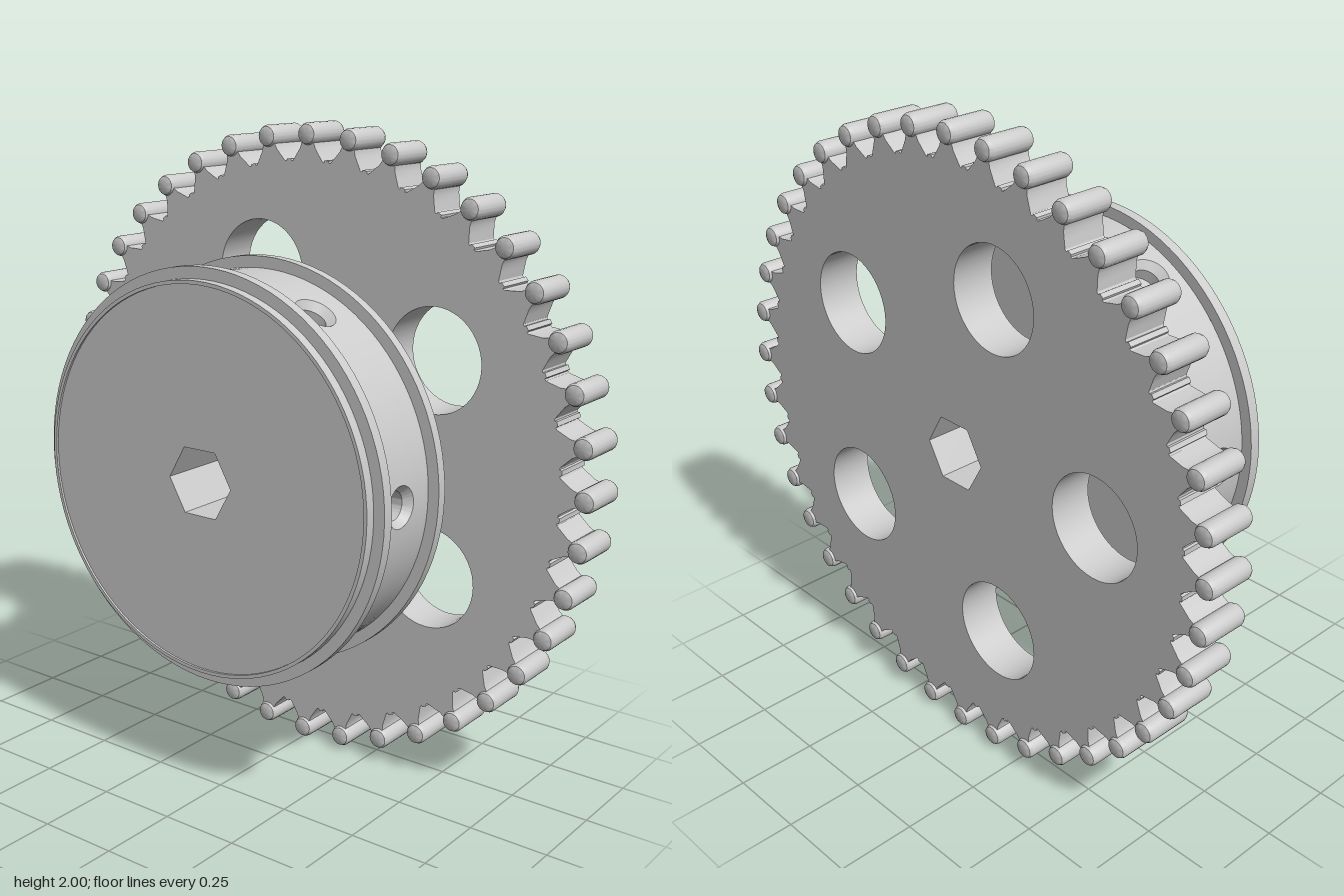
import * as THREE from 'three';
import { toCreasedNormals, mergeGeometries } from 'three/addons/utils/BufferGeometryUtils.js';

const material = new THREE.MeshStandardMaterial({ color: 0xcccccc, side: THREE.DoubleSide });
const TAU = Math.PI * 2;
const BORE = 0.115;        // corner radius of the hexagonal bore
const CROSS = 0.05;        // corner radius of the hexagonal cross hole
const CROSS_Z = -0.0925;
const HUB_R = 0.235, DRUM_R = 0.59;
const GEAR_BACK = -0.325, GEAR_FRONT = -0.185, FACE_Z = 0.33;

function add(parent, name, geometry) {
  const mesh = new THREE.Mesh(geometry, material);
  mesh.name = name;
  parent.add(mesh);
  return mesh;
}

// Turned part about the z axis, profile as [radius, z] with rising z
function turned(profile, segments = 96) {
  const g = new THREE.LatheGeometry(profile.map(p => new THREE.Vector2(...p)), segments);
  return toCreasedNormals(g.rotateX(Math.PI / 2), 0.5);
}

// Surface through closed rings of points, listed from the inside outwards
function loft(rings) {
  const n = rings[0].length, index = [];
  for (let i = 0; i < rings.length - 1; i++) {
    for (let j = 0; j < n; j++) {
      const k = (j + 1) % n, a = i * n + j, b = i * n + k;
      index.push(a, a + n, b + n, a, b + n, b);
    }
  }
  const g = new THREE.BufferGeometry().setFromPoints(rings.flat());
  g.setIndex(index);
  return g;
}

// Piece of a cylinder wall with a radial hole in its middle.
// hole(angle) gives the hole radius, inner(u, v) lists the points down the hole from the bottom up.
function piercedWall(R, middle, halfAngle, zc, halfHeight, hole, inner) {
  const w = R * halfAngle, h = halfHeight, angles = new Set();
  const addAngle = a => angles.add(Number(((a + TAU) % TAU).toFixed(5)));
  for (let i = 0; i < 36; i++) addAngle(i * TAU / 36);
  for (let i = -12; i <= 12; i++) {
    for (const s of [-1, 1]) addAngle(Math.atan2(s * h, w * i / 12));
  }
  const at = (x, u, v) => new THREE.Vector3(
    x * Math.cos(middle) - u * Math.sin(middle),
    x * Math.sin(middle) + u * Math.cos(middle), zc + v);
  const columns = [...angles].sort((a, b) => a - b).map(a => {
    const c = Math.cos(a), s = Math.sin(a), r = hole(a);
    const edge = Math.min(w / Math.max(Math.abs(c), 1e-6), h / Math.max(Math.abs(s), 1e-6));
    const points = inner(c, s, r).map(p => at(...p));
    for (let i = 0; i <= 8; i++) {
      const q = THREE.MathUtils.lerp(r, edge, i / 8), t = q * c / R;
      points.push(at(R * Math.cos(t), R * Math.sin(t), q * s));
    }
    return points;
  });
  return loft(columns[0].map((_, i) => columns.map(col => col[i])));
}

function hexPath(r) {
  return new THREE.Path(Array.from({ length: 6 }, (_, i) =>
    new THREE.Vector2(r * Math.cos(i * TAU / 6), r * Math.sin(i * TAU / 6))));
}

function circlePath(x, y, r) {
  return new THREE.Path().absarc(x, y, r, 0, TAU, true);
}

// Toothed plate with five round windows and the hexagonal bore
function gearPlate() {
  const half = [[0.02, 0.975], [0.021, 0.945], [0.028, 0.925], [0.042, 0.905],
    [0.054, 0.888], [0.06, 0.886], [0.063, 0.893]];
  const tooth = [...half.map(([w, r]) => [-w, r]).reverse(), ...half];
  const outline = [];
  for (let i = 0; i < 40; i++) {
    for (const [w, r] of tooth) {
      const a = i * TAU / 40 + w / r;
      outline.push(new THREE.Vector2(r * Math.cos(a), r * Math.sin(a)));
    }
  }
  const shape = new THREE.Shape(outline);
  shape.holes.push(hexPath(BORE));
  for (let i = 0; i < 5; i++) {
    const a = Math.PI + i * TAU / 5;
    shape.holes.push(circlePath(0.57 * Math.cos(a), 0.57 * Math.sin(a), 0.16));
  }
  const g = new THREE.ExtrudeGeometry(shape,
    { depth: GEAR_FRONT - GEAR_BACK, bevelEnabled: false, curveSegments: 24 });
  return toCreasedNormals(g.translate(0, 0, GEAR_BACK), 0.5);
}

// Hexagonal bore walls; the four slanted ones are notched by the cross hole
function boreWalls() {
  const parts = [], flat = BORE * Math.sqrt(3) / 2, cut = CROSS * Math.sqrt(3) / 2;
  const notched = new THREE.Shape([[0, GEAR_FRONT], [flat, GEAR_FRONT], [flat, FACE_Z], [0, FACE_Z],
    [0, CROSS_Z + CROSS], [cut, CROSS_Z + CROSS / 2], [cut, CROSS_Z - CROSS / 2], [0, CROSS_Z - CROSS]]
    .map(p => new THREE.Vector2(...p)));
  for (const sx of [-1, 1]) {
    for (const sy of [-1, 1]) {
      const g = new THREE.ShapeGeometry(notched), p = g.attributes.position;
      for (let i = 0; i < p.count; i++) {
        const y = p.getX(i), z = p.getY(i);
        p.setXYZ(i, sx * (BORE - y / Math.sqrt(3)), sy * y, z);
      }
      // Mirrored walls need their corners reversed to face the axis
      if (sx * sy > 0) g.setIndex([...g.index.array].reverse());
      parts.push(g.toNonIndexed());
    }
  }
  for (const s of [-1, 1]) {
    const g = new THREE.PlaneGeometry(BORE, FACE_Z - GEAR_FRONT);
    g.rotateX(s * Math.PI / 2).translate(0, s * flat, (FACE_Z + GEAR_FRONT) / 2);
    parts.push(g.toNonIndexed());
  }
  const merged = mergeGeometries(parts);
  merged.computeVertexNormals();
  return merged;
}

export function createModel() {
  const model = new THREE.Group();
  model.name = 'hubGear';
  const body = new THREE.Group();
  body.name = 'gearAssembly';
  body.position.y = 1;
  model.add(body);

  add(body, 'gearPlate', gearPlate());

  // Rounded pins on the tooth tips
  const pins = new THREE.Group();
  pins.name = 'toothPins';
  body.add(pins);
  const pin = turned([[0, -0.337], [0.02, -0.337], [0.029, -0.333], [0.034, -0.322],
    [0.034, -0.188], [0.029, -0.177], [0.02, -0.173], [0, -0.173]], 20);
  for (let i = 0; i < 40; i++) {
    const a = i * TAU / 40;
    add(pins, 'toothPin', pin).position.set(0.966 * Math.cos(a), 0.966 * Math.sin(a), 0);
  }

  // Hub neck, with a hexagonal cross hole running along x into the bore
  const hexRadius = a => CROSS * Math.cos(Math.PI / 6) /
    Math.cos(((a + Math.PI / 2) % (TAU / 6)) - Math.PI / 6);
  const neck = [0, Math.PI].map(a => piercedWall(HUB_R, a, Math.PI / 2, CROSS_Z, 0.0925, hexRadius,
    (c, s, r) => [
      [BORE - Math.abs(r * c) / Math.sqrt(3), r * c, r * s],
      [HUB_R * Math.cos(r * c / HUB_R), HUB_R * Math.sin(r * c / HUB_R), r * s]]));
  add(body, 'hubNeck', toCreasedNormals(mergeGeometries(neck), 0.5));

  // Drum flanges and raised front rim
  add(body, 'rearFlange', turned([[HUB_R, 0], [0.625, 0], [0.625, 0.032], [DRUM_R, 0.032], [DRUM_R, 0.07]]));
  add(body, 'frontFlange', turned([[DRUM_R, 0.27], [0.625, 0.27], [0.625, 0.305], [DRUM_R, 0.305],
    [DRUM_R, 0.337], [0.579, 0.337]]));
  add(body, 'frontRimStep', turned([[0.579, 0.337], [0.579, FACE_Z]]));

  // Drum wall with six countersunk holes
  const wall = [];
  for (let i = 0; i < 6; i++) {
    wall.push(piercedWall(DRUM_R, i * TAU / 6, TAU / 12, 0.17, 0.1, () => 0.062,
      (c, s) => [[0, 0.0005], [0.06, 0.042], [0.025, 0.042]].map(([depth, r], k) =>
        [DRUM_R - (k ? depth : 0.06), r * c, r * s])));
  }
  add(body, 'drumWall', toCreasedNormals(mergeGeometries(wall), 0.5));

  // Front face with the bore opening
  const face = new THREE.Shape().absarc(0, 0, 0.579, 0, TAU, false);
  face.holes.push(hexPath(BORE));
  add(body, 'frontFace', new THREE.ShapeGeometry(face, 96).translate(0, 0, FACE_Z));

  add(body, 'boreWalls', boreWalls());
  return model;
}
